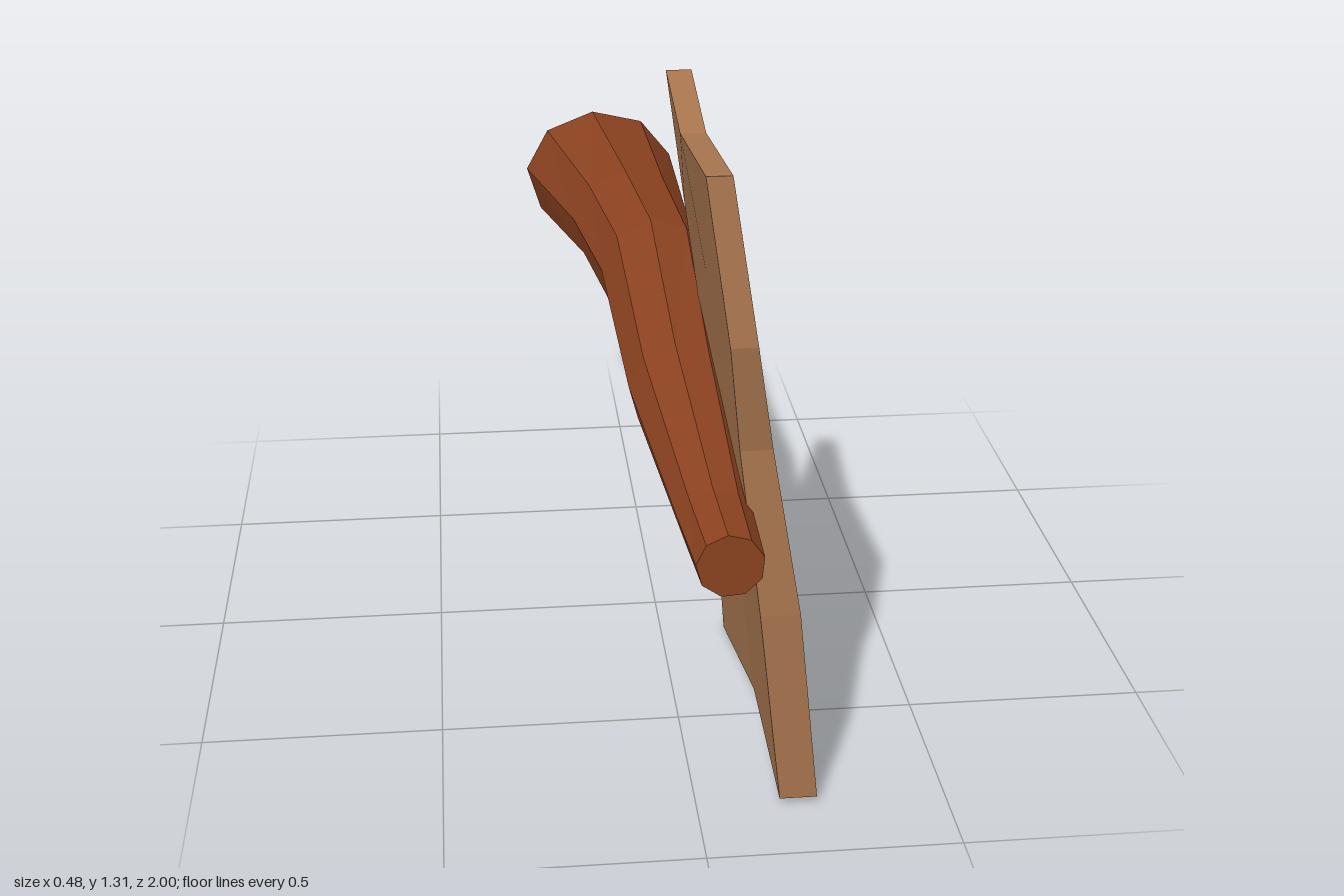
import * as THREE from 'three';

// Skin closed rings of points (counter-clockwise about the travel direction) and cap both ends
function loft(rings) {
  const pos = [];
  const tri = (a, b, c) => pos.push(...a, ...b, ...c);
  const n = rings[0].length;
  for (let i = 0; i < rings.length - 1; i++) {
    for (let j = 0; j < n; j++) {
      const k = (j + 1) % n;
      const [a, b, c, d] = [rings[i][j], rings[i][k], rings[i + 1][k], rings[i + 1][j]];
      tri(a, b, c);
      tri(a, c, d);
    }
  }
  // Caps are strips running across the ring, so a notched end keeps its shape
  const cap = (r) => {
    for (let i = 0; i < n / 2 - 1; i++) {
      const [a, b, c, d] = [r[i], r[i + 1], r[n - 2 - i], r[n - 1 - i]];
      if (b !== c) tri(a, b, c);
      tri(a, c, d);
    }
  };
  cap(rings[rings.length - 1]);
  cap([...rings[0]].reverse());
  const geo = new THREE.BufferGeometry();
  geo.setAttribute('position', new THREE.Float32BufferAttribute(pos, 3));
  geo.computeVertexNormals();
  return geo;
}

function part(name, geometry, color) {
  const mesh = new THREE.Mesh(geometry, new THREE.MeshStandardMaterial({ color, flatShading: true }));
  mesh.name = name;
  return mesh;
}

export function createModel() {
  const group = new THREE.Group();
  group.name = 'branchWithPlank';

  // Bent, tapering nine-sided branch: z, centre x, centre y, radius x, radius y
  const sections = [
    [-1, -0.05, 0.75, 0.192, 0.165],
    [-0.5, -0.012, 0.778, 0.138, 0.133],
    [-0.17, 0.017, 0.767, 0.124, 0.128],
    [0.35, 0.015, 0.7, 0.105, 0.105],
    [0.83, 0.032, 0.638, 0.072, 0.068],
    [1, 0.038, 0.632, 0.064, 0.063],
  ];
  const sides = 9;
  const branchRings = sections.map(([z, cx, cy, rx, ry]) =>
    Array.from({ length: sides }, (_, i) => {
      const a = THREE.MathUtils.degToRad(15 + (i * 360) / sides);
      return [cx + rx * Math.cos(a), cy + ry * Math.sin(a), z];
    }));
  group.add(part('branch', loft(branchRings), 0x8b4220));

  // Warped leaning plank, bottom to top. Each edge: [outer x, inner x, y, z]
  const rows = [
    { front: [0.24, 0.165, 0.02, 0.84], back: [0.227, 0.145, 0.005, 0.13], midY: 0.09, midZ: 0.54 },
    { front: [0.195, 0.117, 0.44, 0.85], back: [0.2, 0.117, 0.43, 0.09] },
    { front: [0.138, 0.075, 0.78, 0.83], back: [0.155, 0.08, 0.82, 0.125] },
    { front: [0.102, 0.05, 1.0, 0.865], back: [0.11, 0.05, 1.03, 0.122] },
    { front: [0.057, 0.008, 1.31, 0.82], back: [0.063, 0.01, 1.318, 0.12], midY: 1.265, midZ: 0.4 },
  ];
  const plankRings = rows.map(({ front: f, back: b, midY, midZ }) => {
    const m = f.map((v, i) => (v + b[i]) / 2);
    m[2] = midY ?? m[2];
    m[3] = midZ ?? m[3];
    const edges = [f, m, b];
    const outer = edges.map(([xo, , y, z]) => [xo, y, z]);
    const inner = edges.map(([, xi, y, z]) => [xi, y, z]).reverse();
    return [...outer, ...inner];
  });
  group.add(part('plank', loft(plankRings), 0xa9764f));

  return group;
}
